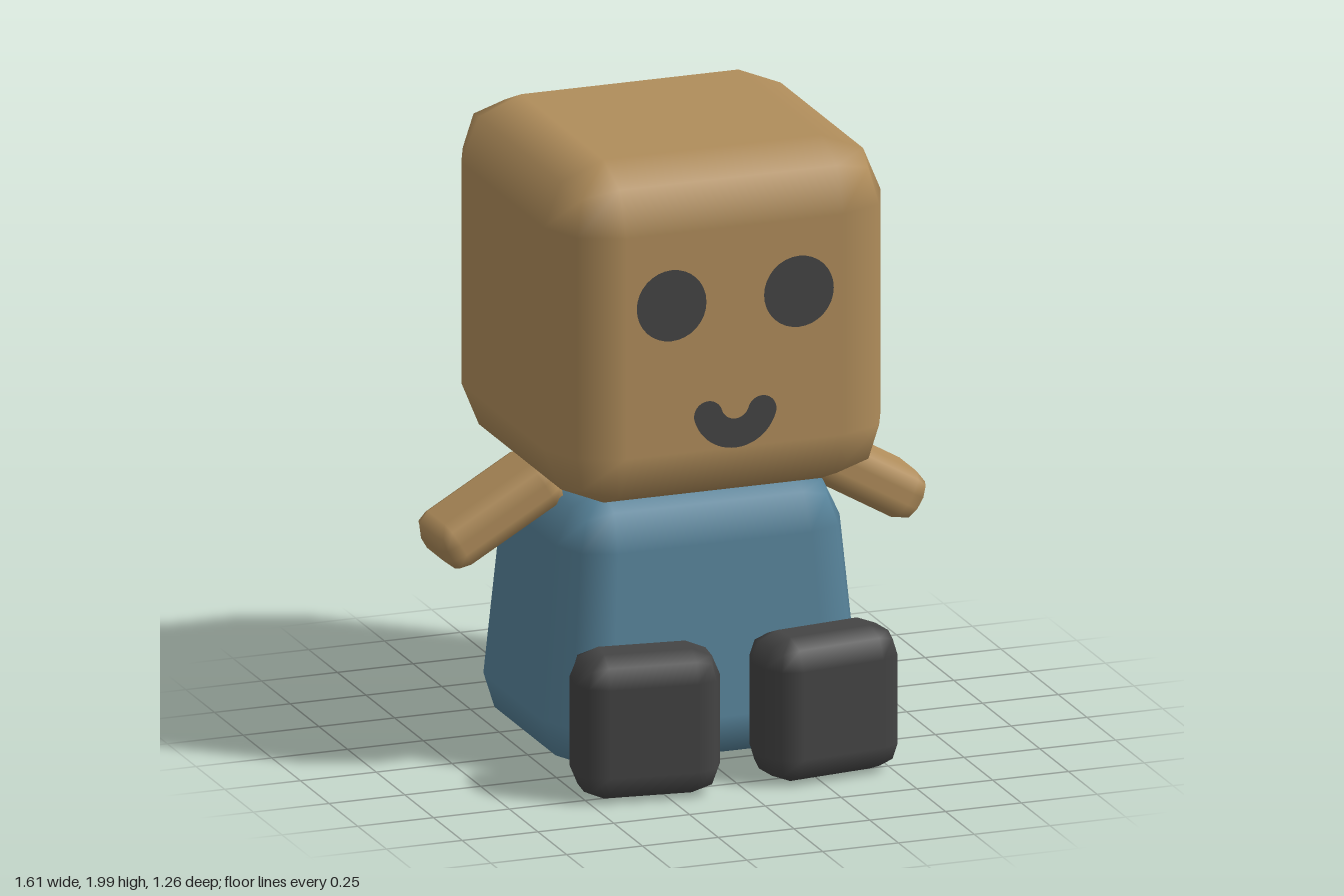
import * as THREE from 'three';
import { RoundedBoxGeometry } from 'three/addons/geometries/RoundedBoxGeometry.js';

const mat = (name, color) => {
  const m = new THREE.MeshStandardMaterial({ color });
  m.name = name;
  return m;
};

export function createModel() {
  const tan = mat('tan', 0xb08d5b);
  const blue = mat('blue', 0x57839a);
  const dark = mat('charcoal', 0x444444);

  const model = new THREE.Group();
  model.name = 'figure';
  const add = (name, geometry, material, x, y, z) => {
    const mesh = new THREE.Mesh(geometry, material);
    mesh.name = name;
    mesh.position.set(x, y, z);
    model.add(mesh);
    return mesh;
  };

  // Head: a big cube with one coarse bevel step
  add('head', new RoundedBoxGeometry(1.112, 1.11, 1.114, 1, 0.198), tan, 0, 1.445, -0.073);

  // Body: rounded box narrowing towards the top
  const body = new RoundedBoxGeometry(1.036, 0.88, 0.85, 1, 0.165);
  const p = body.attributes.position;
  const n = body.attributes.normal;
  for (let i = 0; i < p.count; i++) {
    const k = 1 - 0.18 * (p.getY(i) + 0.26);
    const side = Math.hypot(n.getX(i), n.getZ(i));
    p.setX(i, p.getX(i) * k);
    p.setZ(i, p.getZ(i) * k);
    // sides lean back slightly, so their normals tip up
    const v = new THREE.Vector3(n.getX(i), n.getY(i) + 0.08 * side, n.getZ(i)).normalize();
    n.setXYZ(i, v.x, v.y, v.z);
  }
  add('body', body, blue, 0, 0.45, -0.075);

  // Arms, feet and eyes, mirrored
  const armGeo = new RoundedBoxGeometry(0.445, 0.163, 0.27, 1, 0.062);
  const footGeo = new RoundedBoxGeometry(0.458, 0.465, 0.265, 1, 0.09);
  const eyeGeo = new THREE.CircleGeometry(0.115, 32);
  for (const [side, s] of [['left', 1], ['right', -1]]) {
    add(side + 'Arm', armGeo, tan, s * 0.598, 0.795, -0.064).rotation.z = -s * Math.PI / 6;
    add(side + 'Foot', footGeo, dark, s * 0.295, 0.238, 0.478).rotation.y = s * 0.125;
    add(side + 'Eye', eyeGeo, dark, s * 0.21, 1.57, 0.488);
  }

  // Mouth: a smiling arc with round ends
  const R = 0.093, w = 0.047, a = 0.3;
  const ex = R * Math.cos(a), ey = -R * Math.sin(a);
  const smile = new THREE.Shape();
  smile.absarc(0, 0, R + w, Math.PI + a, 2 * Math.PI - a, false);
  smile.absarc(ex, ey, w, -a, Math.PI - a, false);
  smile.absarc(0, 0, R - w, 2 * Math.PI - a, Math.PI + a, true);
  smile.absarc(-ex, ey, w, a, Math.PI + a, false);
  add('mouth', new THREE.ShapeGeometry(smile, 16), dark, 0, 1.228, 0.488);

  return model;
}
